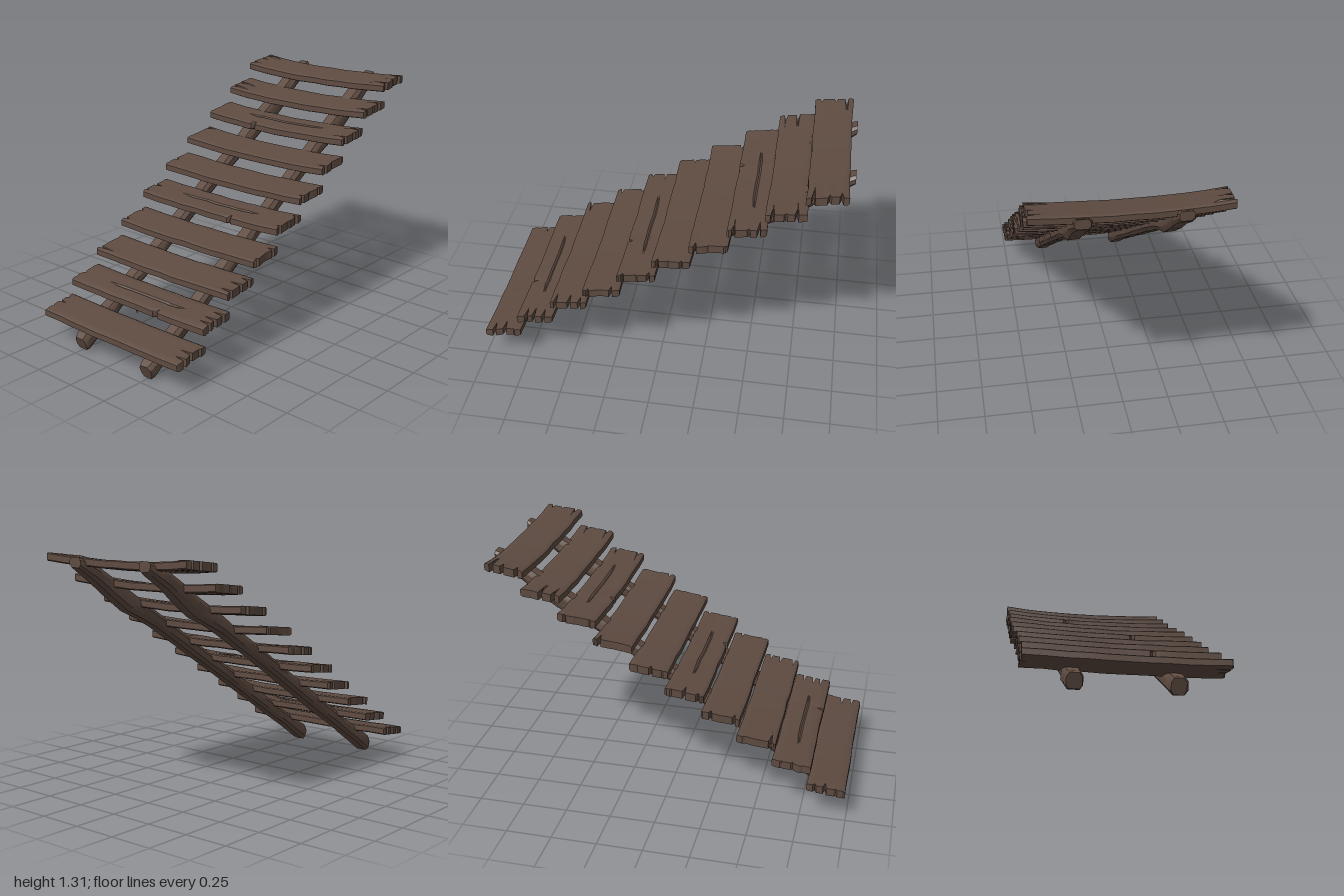
import * as THREE from 'three';
import { toCreasedNormals } from 'three/addons/utils/BufferGeometryUtils.js';

const V = (x, y, z) => new THREE.Vector3(x, y, z);
const { lerp, smoothstep } = THREE.MathUtils;

// Seeded noise from -0.5 to 0.5
function makeRandom(seed) {
  let s = seed;
  return () => {
    s = (s * 16807) % 2147483647;
    return s / 2147483647 - 0.5;
  };
}

// Skin a row of rings. Each ring lists its top points, then its bottom points in reverse.
function loft(rings) {
  const pos = [];
  const quad = (a, b, c, d) => [a, b, c, a, c, d].forEach((p) => pos.push(p.x, p.y, p.z));
  const n = rings[0].length;
  for (let i = 0; i < rings.length - 1; i++) {
    for (let j = 0; j < n; j++) {
      const k = (j + 1) % n;
      quad(rings[i][j], rings[i + 1][j], rings[i + 1][k], rings[i][k]);
    }
  }
  const first = rings[0], last = rings[rings.length - 1];
  for (let j = 0; j < n / 2 - 1; j++) {
    const k = n - 1 - j;
    quad(last[j], last[k], last[k - 1], last[j + 1]);
    quad(first[j], first[j + 1], first[k - 1], first[k]);
  }
  const geo = new THREE.BufferGeometry();
  geo.setAttribute('position', new THREE.Float32BufferAttribute(pos, 3));
  return toCreasedNormals(geo, 0.6);
}

// Chips in the front edge: tread index to x
const CHIPS = { 1: 0.16, 4: 0.16, 7: -0.15 };

// Weathered board: sagging middle, split ends, a crack along some centres
function plankGeometry(index) {
  const rnd = makeRandom(7001 + index * 51713);
  for (let i = 0; i < 5; i++) rnd();
  const frontZ = 0.987 - index * 0.1945, depth = 0.205;
  const frontY = 0.17 + index * 0.1218, rise = 0.026;
  const sag = 0.006 + index * 0.0018;
  const chip = CHIPS[index];

  // rows across the board, three for each split
  const rows = [{ v: 0, edge: true }, { v: 0.05 }];
  [0.2, 0.5, 0.8].forEach((middle, k) => {
    const v = middle + rnd() * 0.12;
    const left = 0.08 * (rnd() + 0.5) ** 3, right = 0.075 * (rnd() + 0.5);
    const crack = k === 1 && index % 3 === 1 ? 0.28 : 0;
    rows.push({ v: v - 0.045 }, { v, left, right, crack }, { v: v + 0.045 });
  });
  rows.push({ v: 0.95 }, { v: 1, edge: true });
  rows.forEach((row) => {
    row.startX = rnd() * 0.012 + (row.left ?? 0);
    row.endX = rnd() * 0.012 - (row.right ?? 0);
  });

  const startX = -0.498 + rnd() * 0.02, endX = 0.498 + rnd() * 0.012;
  const columns = [startX, endX];
  for (let i = -4; i <= 4; i++) columns.push(i * 0.095);
  if (chip !== undefined) columns.push(chip - 0.018, chip, chip + 0.012);
  columns.sort((a, b) => a - b);

  return loft(columns.map((x) => {
    const lift = sag * ((x / 0.5) ** 2 - 0.35) + rnd() * 0.004;
    const front = frontZ + rnd() * 0.006 + 0.006 * Math.abs(x);
    const back = frontZ - depth + rnd() * 0.006;
    const top = [], bottom = [];
    rows.forEach((row) => {
      const px = x + (x === startX ? row.startX : x === endX ? row.endX : 0);
      const chipped = x === chip && row.v < 0.06;
      const z = lerp(front, back, row.v) - (chipped ? 0.03 - row.v * 0.15 : 0);
      const y = frontY + rise * row.v + lift;
      const half = row.edge ? 0.016 : 0.022;
      const groove = Math.abs(x) < row.crack ? 0.008 : 0;
      top.push(V(px, y + half - groove, z));
      bottom.unshift(V(px, y - half, z));
    });
    return [...top, ...bottom];
  }));
}

// Sloping rough-hewn beam, from the high back end to the low front end
function railGeometry(side) {
  const rnd = makeRandom(side > 0 ? 77123 : 30111);
  const outline = [[-1, 0.45], [-0.65, 1], [0.65, 1], [1, 0.45], [1, -0.5], [0.65, -1], [-0.65, -1], [-1, -0.5]];
  const backZ = -0.998, frontZ = 0.955, count = 20;
  const rings = [];
  for (let i = 0; i <= count; i++) {
    const isEnd = i === 0 || i === count;
    const z = isEnd ? (i ? frontZ : backZ) : lerp(backZ + 0.02, frontZ - 0.02, (i - 1) / (count - 2));
    // worn bulge on the underside near the upper end
    const bulge = 0.032 * Math.exp(-(((z + 0.68) / 0.13) ** 2));
    const under = 0.619 - 0.639 * z - bulge;
    const height = 0.088 + bulge - 0.025 * smoothstep(-z, 0.85, 1);
    const halfWidth = 0.047 + rnd() * 0.006;
    const cx = side * 0.248 + rnd() * 0.008;
    const taper = isEnd ? 0.84 : 1;
    const lean = smoothstep(z, 0.75, 0.93) * 0.014;
    rings.push(outline.map(([ox, oy]) => V(
      cx + ox * halfWidth * taper + rnd() * 0.004,
      under + height * (0.5 + oy * 0.5 * taper) + rnd() * 0.004,
      z + oy * lean,
    )));
  }
  return loft(rings);
}

export function createModel() {
  const model = new THREE.Group();
  model.name = 'woodenSteps';
  const wood = new THREE.MeshStandardMaterial({ color: 0x5e4b41 });
  wood.name = 'dark brown wood';
  const add = (name, geometry) => {
    const mesh = new THREE.Mesh(geometry, wood);
    mesh.name = name;
    model.add(mesh);
    return mesh;
  };

  // Treads
  for (let i = 0; i < 10; i++) add(`plank${i + 1}`, plankGeometry(i));

  // Beams under the treads
  add('leftRail', railGeometry(1));
  add('rightRail', railGeometry(-1));

  // Splinter hanging below the second tread
  const splinter = add('splinter', new THREE.ConeGeometry(0.014, 0.045, 5));
  splinter.rotation.x = Math.PI;
  splinter.position.set(0, 0.265, 0.77);

  return model;
}
